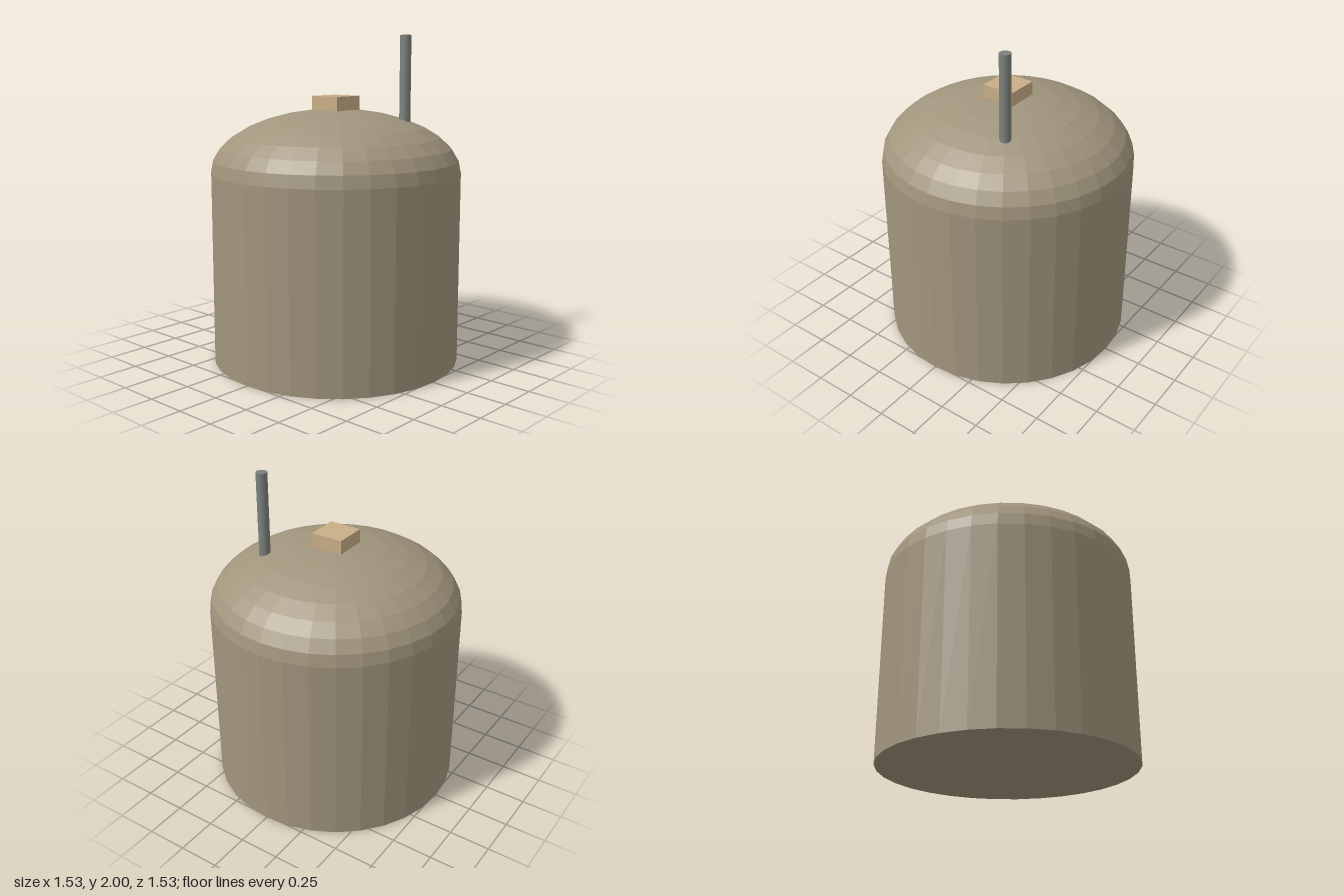
import * as THREE from 'three';

const RADIUS = 0.765, WALL = 1.175, DOME = 0.382, SIDES = 32;

export function createModel() {
  const group = new THREE.Group();
  const tan = new THREE.MeshStandardMaterial({ name: 'tank tan', color: 0xa1957d, flatShading: true });
  const sand = new THREE.MeshStandardMaterial({ name: 'hatch sand', color: 0xc9ae86 });
  const grey = new THREE.MeshStandardMaterial({ name: 'pipe grey', color: 0x7d817b });

  const add = (name, geometry, material, x, y, z) => {
    const mesh = new THREE.Mesh(geometry, material);
    mesh.name = name;
    mesh.position.set(x, y, z);
    group.add(mesh);
  };

  // Closed floor and straight wall
  add('tankWall', new THREE.CylinderGeometry(RADIUS, RADIUS, WALL, SIDES, 1, true), tan, 0, WALL / 2, 0);
  add('tankFloor', new THREE.CircleGeometry(RADIUS, SIDES).rotateX(Math.PI / 2), tan, 0, 0, 0);

  // Flattened half-sphere roof
  const dome = new THREE.SphereGeometry(RADIUS, SIDES, 8, 0, Math.PI * 2, 0, Math.PI / 2);
  dome.scale(1, DOME / RADIUS, 1);
  add('domeRoof', dome, tan, 0, WALL, 0);

  // Square hatch on the crown, sunk slightly into the roof
  add('hatch', new THREE.BoxGeometry(0.204, 0.1, 0.204), sand, 0, 1.586, 0);

  // Vent pipe, rising from the back left of the roof
  add('ventPipe', new THREE.CylinderGeometry(0.034, 0.034, 0.54, 16), grey, 0.35, 1.73, -0.235);

  return group;
}
